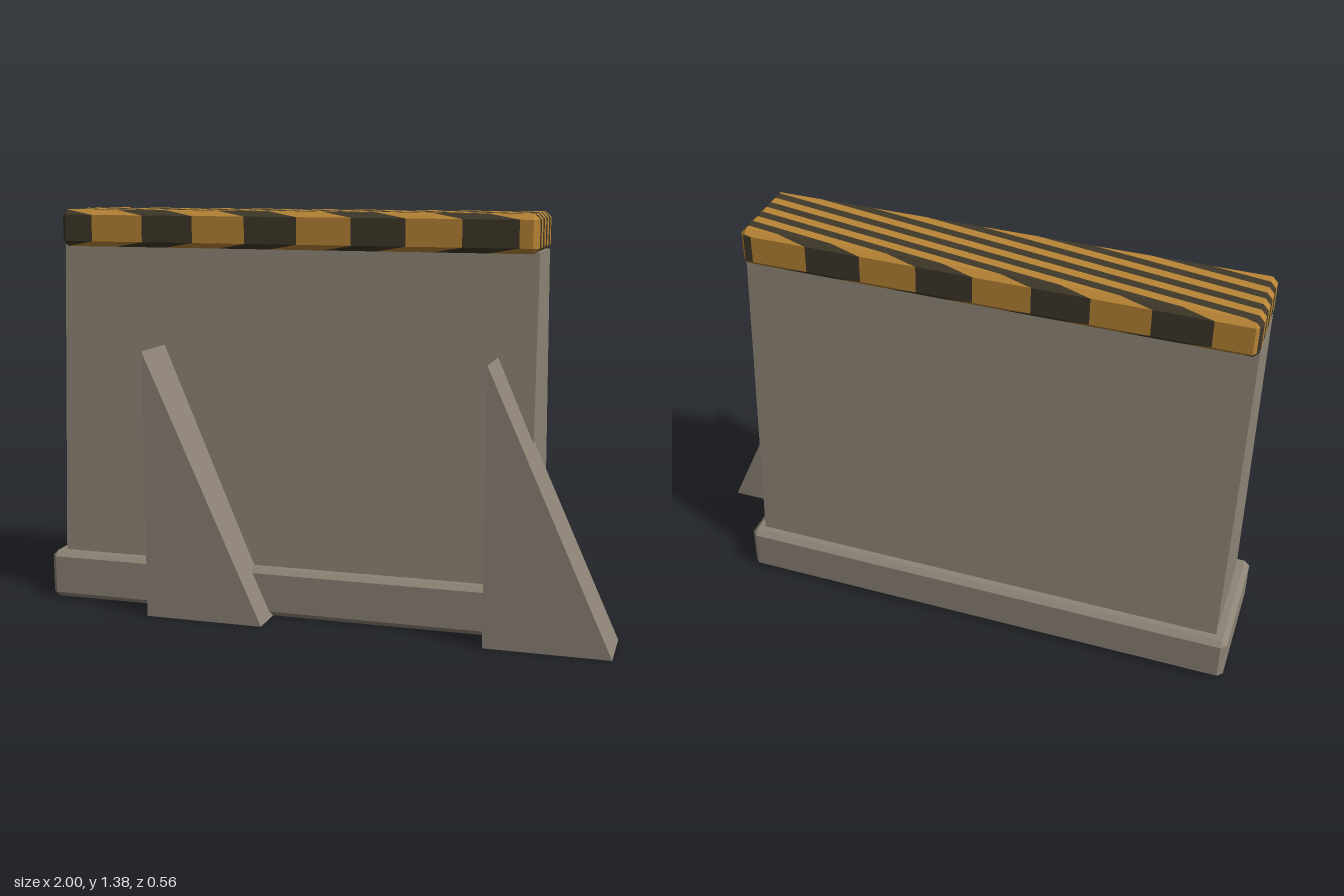
import * as THREE from 'three';

// Polygons of a box with every edge and corner chamfered by c
function chamferedFaces(min, max, c) {
  const faces = [], signs = [-1, 1];
  for (const dx of [-1, 0, 1]) for (const dy of [-1, 0, 1]) for (const dz of [-1, 0, 1]) {
    const d = [dx, dy, dz], pts = [];
    if (!dx && !dy && !dz) continue;
    for (const sx of signs) for (const sy of signs) for (const sz of signs) {
      const s = [sx, sy, sz];
      if (d.some((v, i) => v && v !== s[i])) continue;
      for (let a = 0; a < 3; a++) {
        if (!d[a]) continue;
        const p = s.map((v, i) => (v > 0 ? max[i] : min[i]) - (i === a ? 0 : v * c));
        pts.push(new THREE.Vector3(...p));
      }
    }
    // order the corners anticlockwise around the outward normal
    const n = new THREE.Vector3(...d).normalize();
    const mid = pts.reduce((m, p) => m.add(p), new THREE.Vector3()).divideScalar(pts.length);
    const u = pts[0].clone().sub(mid).normalize(), v = n.clone().cross(u);
    const angle = p => {
      const q = p.clone().sub(mid);
      return Math.atan2(q.dot(v), q.dot(u));
    };
    faces.push(pts.map(p => [angle(p), p]).sort((a, b) => a[0] - b[0]).map(e => e[1]));
  }
  return faces;
}

// Keeps the part of a polygon where f(point) >= 0
function clip(poly, f) {
  const out = [];
  poly.forEach((p, i) => {
    const q = poly[(i + 1) % poly.length], a = f(p), b = f(q);
    if (a >= 0) out.push(p);
    if ((a >= 0) !== (b >= 0)) out.push(p.clone().lerp(q, a / (a - b)));
  });
  return out;
}

function facesToGeometry(faces) {
  const pts = [];
  for (const f of faces) for (let i = 1; i < f.length - 1; i++) pts.push(f[0], f[i], f[i + 1]);
  const g = new THREE.BufferGeometry().setFromPoints(pts);
  g.computeVertexNormals();
  return g;
}

function prism(points, depth) {
  const shape = new THREE.Shape(points.map(p => new THREE.Vector2(...p)));
  return new THREE.ExtrudeGeometry(shape, { depth, bevelEnabled: false });
}

export function createModel() {
  const group = new THREE.Group();
  const material = (name, color) => {
    const m = new THREE.MeshStandardMaterial({ color });
    m.name = name;
    return m;
  };
  const concrete = material('concrete', 0x8e8477);
  const amber = material('amberPaint', 0xb98536);
  const black = material('darkPaint', 0x40392a);
  const add = (name, geometry, mat) => {
    const mesh = new THREE.Mesh(geometry, mat);
    mesh.name = name;
    group.add(mesh);
    return mesh;
  };

  // Footing slab
  add('base', facesToGeometry(chamferedFaces([-1, 0, -0.28], [0.745, 0.168, 0.17], 0.018)), concrete);

  // Wall tapering in depth, its profile extruded along x
  const wall = prism([[-0.131, 0.15], [0.241, 0.15], [0.165, 1.255], [-0.063, 1.255]], 1.663);
  wall.rotateY(Math.PI / 2);
  add('wall', wall, concrete).position.x = -0.957;

  // Triangular buttresses at the front
  for (const [name, x] of [['rightButtress', -0.582], ['leftButtress', 0.582]]) {
    add(name, prism([[0, 0], [0.413, 0], [0, 0.917]], 0.207), concrete).position.set(x, 0, 0.073);
  }

  // Cap cut into diagonal hazard stripes
  const period = 0.371, half = 0.184;
  const across = p => p.x + (0.095 - p.z) / 0.177;
  const stripes = { amber: [], dark: [] };
  for (const face of chamferedFaces([-0.957, 1.25, -0.197], [0.706, 1.377, 0.095], 0.018)) {
    for (let i = -5; i < 7; i++) {
      const start = 0.46 + i * period;
      for (const [key, lo, hi] of [['dark', start, start + half], ['amber', start + half, start + period]]) {
        const piece = clip(clip(face, p => across(p) - lo), p => hi - across(p));
        if (piece.length > 2) stripes[key].push(piece);
      }
    }
  }
  add('capAmberStripes', facesToGeometry(stripes.amber), amber);
  add('capDarkStripes', facesToGeometry(stripes.dark), black);

  return group;
}
